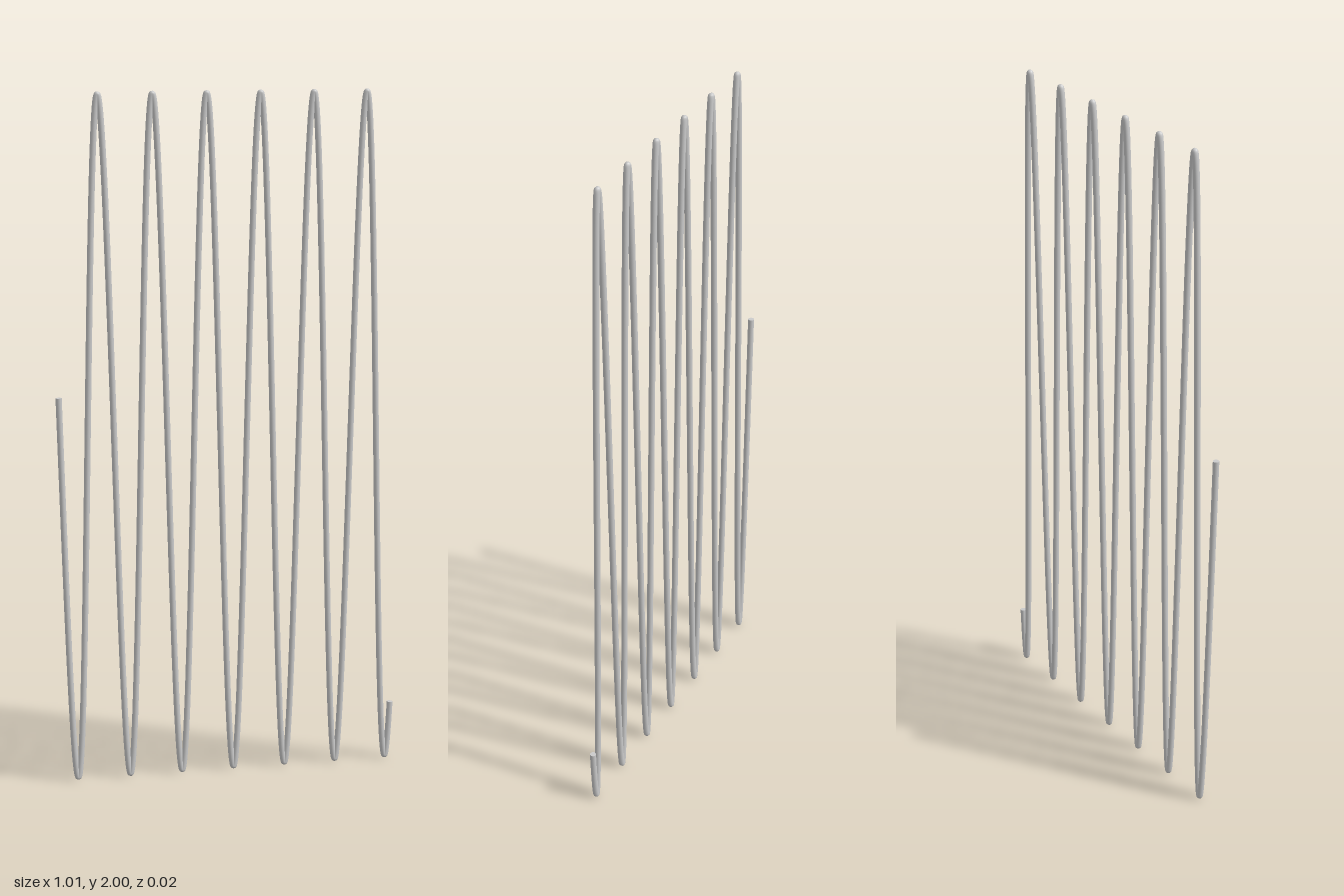
import * as THREE from 'three';

const RADIUS = 0.009;
const AMPLITUDE = 1 - RADIUS;
const HALF_WIDTH = 0.494;
const START = 3, SPAN = 40; // phase range of the sine, in radians

// Sine wave in the xy plane, sampled evenly in x so the tight crests stay smooth
class SineCurve extends THREE.Curve {
  getPoint(t, target = new THREE.Vector3()) {
    return target.set(
      HALF_WIDTH * (2 * t - 1),
      1 + AMPLITUDE * Math.sin(START + SPAN * t),
      0
    );
  }
  getTangent(t, target = new THREE.Vector3()) {
    return target.set(2 * HALF_WIDTH, AMPLITUDE * SPAN * Math.cos(START + SPAN * t), 0).normalize();
  }
  getUtoTmapping(u) {
    return u;
  }
}

export function createModel() {
  const group = new THREE.Group();
  group.name = 'sineWave';
  const material = new THREE.MeshStandardMaterial({ color: 0xcccccc });
  const curve = new SineCurve();

  // Wire swept along the wave
  const wire = new THREE.Mesh(new THREE.TubeGeometry(curve, 2000, RADIUS, 12, false), material);
  wire.name = 'waveWire';
  group.add(wire);

  // Flat discs closing both ends
  for (const [name, t, sign] of [['startCap', 0, -1], ['endCap', 1, 1]]) {
    const cap = new THREE.Mesh(new THREE.CircleGeometry(RADIUS, 12), material);
    cap.name = name;
    cap.position.copy(curve.getPoint(t));
    const outward = curve.getTangent(t).multiplyScalar(sign);
    cap.quaternion.setFromUnitVectors(new THREE.Vector3(0, 0, 1), outward);
    group.add(cap);
  }
  return group;
}
